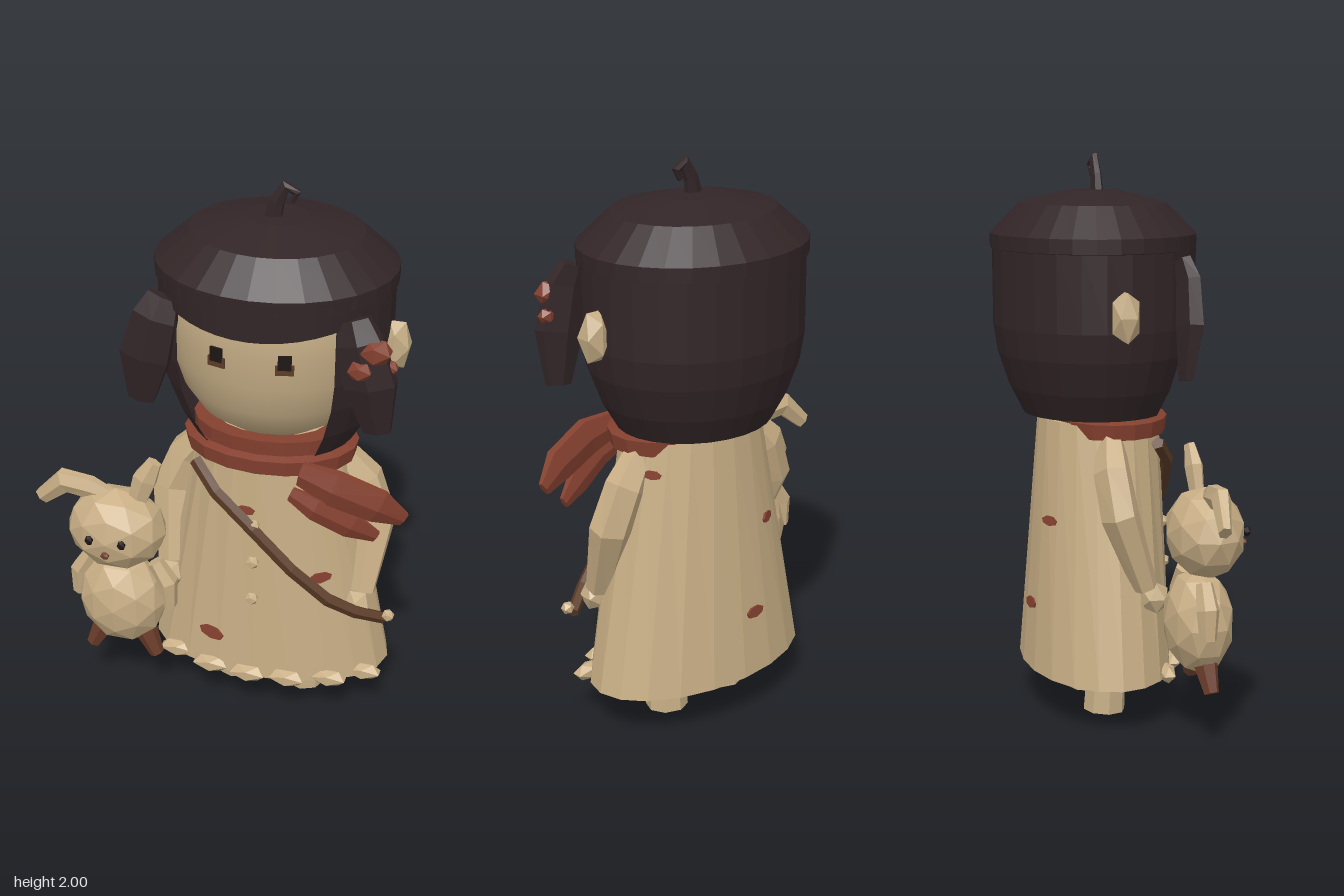
import * as THREE from 'three';

const mat = (name, color, side = THREE.FrontSide) => {
  const m = new THREE.MeshStandardMaterial({ color, side });
  m.name = name;
  return m;
};

// Gives every face its own normal for a low-poly look
const faceted = (geo) => {
  const g = geo.index ? geo.toNonIndexed() : geo;
  g.computeVertexNormals();
  return g;
};

// Faceted solid swept through points, with a radius at each and closed ends
function limb(pts, radii, sides = 6, flat = 1) {
  const P = pts.map((p) => new THREE.Vector3(...p));
  const last = P.length - 1;
  const rings = P.map((p, i) => {
    const t = P[Math.min(i + 1, last)].clone().sub(P[Math.max(i - 1, 0)]).normalize();
    const u = t.clone().cross(new THREE.Vector3(0, 0, 1)).normalize();
    return { p, u, v: t.clone().cross(u), r: radii[i] };
  });
  rings.unshift({ ...rings[0], r: 0 });
  rings.push({ ...rings[rings.length - 1], r: 0 });
  const pos = [], idx = [];
  rings.forEach(({ p, u, v, r }, i) => {
    for (let k = 0; k < sides; k++) {
      const a = ((k + 0.5) / sides) * Math.PI * 2;
      const q = p.clone().addScaledVector(u, Math.cos(a) * r).addScaledVector(v, Math.sin(a) * r * flat);
      pos.push(q.x, q.y, q.z);
      if (i === rings.length - 1) continue;
      const n = (k + 1) % sides, b = i * sides, c = b + sides;
      if (i > 0) idx.push(b + k, b + n, c + k);
      if (i < rings.length - 2) idx.push(b + n, c + n, c + k);
    }
  });
  const g = new THREE.BufferGeometry();
  g.setAttribute('position', new THREE.Float32BufferAttribute(pos, 3));
  g.setIndex(idx);
  return faceted(g);
}

// Faceted ellipsoid
const blob = (x, y, z, sx, sy = sx, sz = sx, detail = 0) =>
  faceted(new THREE.IcosahedronGeometry(1, detail).scale(sx, sy, sz).translate(x, y, z));

// Elliptical lathe around the figure's axis; angle 0 faces the front
const CX = 0.145;
const turned = (profile, sides, depth, cz, start = 0, length = Math.PI * 2) =>
  new THREE.LatheGeometry(profile.map(([r, y]) => new THREE.Vector2(r, y)), sides, start, length)
    .scale(1, 1, depth).translate(CX, 0, cz);

// Point on the flared dress at an angle and height
function onDress(angle, y, grow = 0) {
  const t = (y - 0.165) / 0.905, mix = THREE.MathUtils.lerp;
  return new THREE.Vector3(
    CX + Math.sin(angle) * (mix(0.445, 0.265, t) + grow), y,
    mix(-0.035, -0.02, t) + Math.cos(angle) * (mix(0.265, 0.215, t) + grow));
}

export function createModel() {
  const cream = mat('cream cloth', 0xc8ae85);
  const skin = mat('skin', 0xc6ae86);
  const hair = mat('dark hair', 0x322527, THREE.DoubleSide);
  const red = mat('rust red', 0x84402f);
  const brown = mat('strap brown', 0x5c3c27);
  const russet = mat('russet brown', 0x6c3d2a);
  const black = mat('eye black', 0x1d1614);

  const model = new THREE.Group();
  let target = model;
  const add = (name, geo, material) => {
    const m = new THREE.Mesh(geo, material);
    m.name = name;
    target.add(m);
    return m;
  };

  // Dress: unit lathe moved onto the flared surface
  const dress = new THREE.LatheGeometry(
    [[0, 0.165], [1, 0.165], [1, 1.07], [0, 1.07]].map((p) => new THREE.Vector2(...p)), 20);
  const dp = dress.attributes.position;
  for (let i = 0; i < dp.count; i++) {
    const x = dp.getX(i), z = dp.getZ(i), y = dp.getY(i), r = Math.hypot(x, z);
    const q = onDress(Math.atan2(x, z), y);
    const c = onDress(0, y).add(onDress(Math.PI, y)).multiplyScalar(0.5);
    q.lerpVectors(c, q, r);
    dp.setXYZ(i, q.x, q.y, q.z);
  }
  add('dress', faceted(dress), cream);

  // Hem beads and buttons
  for (let i = -2; i <= 3; i++) {
    const p = onDress(Math.asin(Math.min((-0.02 + 0.147 * i) / 0.45, 0.86)), 0.18);
    add('hemBead', blob(p.x, p.y, p.z, 0.075, 0.035, 0.035), cream);
  }
  for (const y of [0.81, 0.66, 0.51]) {
    const p = onDress(0, y);
    add('button', blob(p.x - 0.005, p.y, p.z + 0.01, 0.025), cream);
  }

  // Thin cloth patches
  const patches = [[-0.4, 0.315, 0.055], [-0.12, 0.86, 0.035], [0.68, 0.6, 0.045],
    [2.0, 0.96, 0.035], [3.65, 0.72, 0.04], [3.3, 0.4, 0.045]];
  for (const [a, y, size] of patches) {
    const disc = new THREE.CylinderGeometry(1, 1, 0.008, 7).rotateX(Math.PI / 2).scale(size, size * 0.45, 1);
    const m = add('patch', faceted(disc), red);
    m.position.copy(onDress(a, y, 0.002));
    m.lookAt(onDress(a, y, 1).add(new THREE.Vector3(0, 0.15, 0)));
  }

  // Legs, sleeves and hands
  for (const s of [-1, 1]) {
    add('leg', faceted(new THREE.CylinderGeometry(0.07, 0.076, 0.18, 8)
      .rotateX(0.05).translate(CX + s * 0.135, 0.092, -0.025)), skin);
    add('sleeve', limb([[CX + s * 0.23, 1.025, -0.03], [CX + s * 0.32, 0.91, -0.045],
      [CX + s * 0.375, 0.77, -0.03], [CX + s * 0.355, 0.51, 0.065]], [0.055, 0.078, 0.08, 0.052], 6, 0.85), cream);
    add('hand', blob(CX + s * 0.35, 0.47, 0.1, 0.055, 0.06, 0.055), skin);
  }

  // Neck scarf and its two hanging ends
  add('scarf', faceted(turned([[0.24, 1.01], [0.3, 1.02], [0.31, 1.075], [0.27, 1.085], [0.275, 1.14], [0.2, 1.14]],
    18, 0.7, 0.005)), red);
  add('scarfEnd', limb([[0.3, 1.04, 0.2], [0.42, 1.01, 0.215], [0.57, 0.95, 0.19], [0.655, 0.895, 0.16]],
    [0.05, 0.075, 0.07, 0.03], 6, 0.45), red);
  add('scarfEnd', limb([[0.27, 0.96, 0.21], [0.36, 0.925, 0.225], [0.48, 0.865, 0.2], [0.565, 0.815, 0.17]],
    [0.03, 0.05, 0.055, 0.025], 6, 0.45), red);

  // Shoulder strap and end knob
  add('strap', limb([[-0.09, 0.995, 0.14], [0.0, 0.915, 0.2], [0.14, 0.8, 0.225], [0.28, 0.66, 0.225],
    [0.41, 0.54, 0.2], [0.5, 0.48, 0.16], [0.595, 0.43, 0.1]], [0.024, 0.024, 0.024, 0.024, 0.025, 0.024, 0.022], 5), brown);
  add('strapKnob', blob(0.61, 0.45, 0.11, 0.024), cream);

  // Head: smooth face, ears and eyes
  add('face', turned([[0, 1.1], [0.17, 1.12], [0.26, 1.18], [0.32, 1.27], [0.355, 1.38], [0.372, 1.5],
    [0.375, 1.62], [0.33, 1.72], [0, 1.74]], 40, 0.88, -0.035), skin);
  for (const s of [-1, 1]) {
    add('ear', blob(CX + s * 0.42, 1.46, -0.022, 0.055, 0.1, 0.055), skin);
    const eye = new THREE.Group();
    eye.name = 'eye';
    eye.position.set(CX + s * 0.115, 1.485, 0.283);
    eye.rotation.y = s * 0.27;
    model.add(eye);
    target = eye;
    add('iris', new THREE.BoxGeometry(0.062, 0.035, 0.008).translate(0, -0.017, 0), brown);
    add('pupil', new THREE.BoxGeometry(0.045, 0.05, 0.009).translate(0, 0.01, 0.002), black);
    target = model;
  }

  // Hair: open-fronted shell, domed crown, fringe and side locks
  const gap = 0.73;
  add('hairBack', faceted(turned([[0.2, 1.07], [0.285, 1.085], [0.34, 1.18], [0.385, 1.3], [0.402, 1.4], [0.404, 1.7]],
    20, 0.88, -0.037, gap, Math.PI * 2 - 2 * gap)), hair);
  add('hairCrown', faceted(turned([[0.395, 1.665], [0.414, 1.67], [0.414, 1.72], [0.295, 1.825], [0.11, 1.868], [0, 1.872]],
    28, 0.875, -0.037)), hair);
  const fringe = turned([[0.385, 1.6], [0.408, 1.6], [0.413, 1.71]], 14, 0.88, -0.037, -0.95, 1.9);
  const fp = fringe.attributes.position;
  for (let i = 0; i < fp.count; i++) {
    if (fp.getY(i) < 1.65) fp.setY(i, 1.572 + 0.4 * (fp.getX(i) - CX) ** 2);
  }
  add('fringe', faceted(fringe), hair);
  for (const s of [-1, 1]) {
    add('sideLock', limb([[CX + s * 0.32, 1.64, 0.2], [CX + s * 0.345, 1.57, 0.215],
      [CX + s * 0.385, 1.42, 0.21], [CX + s * 0.41, 1.24, 0.19]], [0.06, 0.085, 0.098, 0.052], 6, 0.5), hair);
  }
  add('topCurl', limb([[0.13, 1.85, -0.025], [0.145, 1.92, -0.025], [0.175, 1.977, -0.025],
    [0.212, 1.955, -0.03], [0.195, 1.92, -0.03]], [0.034, 0.028, 0.023, 0.018, 0.01], 6, 0.7), hair);

  // Hair flower
  for (const [x, y, z, r] of [[0.545, 1.55, 0.23, 0.06], [0.5, 1.485, 0.25, 0.045], [0.585, 1.485, 0.2, 0.035]]) {
    add('hairFlower', blob(x, y, z, r, r * 0.85, r * 0.75), red);
  }

  // Toy rabbit
  const rabbit = new THREE.Group();
  rabbit.name = 'toyRabbit';
  model.add(rabbit);
  target = rabbit;
  add('rabbitHead', blob(-0.355, 0.73, 0.235, 0.182, 0.158, 0.135, 1), cream);
  add('rabbitBody', blob(-0.35, 0.42, 0.215, 0.165, 0.185, 0.12, 1), cream);
  add('rabbitFloppyEar', limb([[-0.37, 0.85, 0.235], [-0.45, 0.875, 0.235], [-0.55, 0.885, 0.23], [-0.645, 0.795, 0.215]],
    [0.03, 0.045, 0.048, 0.032], 6, 0.7), cream);
  add('rabbitUprightEar', limb([[-0.285, 0.83, 0.23], [-0.25, 0.94, 0.225], [-0.215, 1.01, 0.22]],
    [0.035, 0.047, 0.028], 6, 0.7), cream);
  for (const s of [-1, 1]) {
    add('rabbitArm', limb([[-0.35 + s * 0.12, 0.58, 0.2], [-0.35 + s * 0.165, 0.5, 0.2], [-0.35 + s * 0.17, 0.4, 0.2]],
      [0.03, 0.04, 0.03], 6), cream);
    add('rabbitLeg', limb([[-0.345 + s * 0.075, 0.3, 0.22], [-0.345 + s * 0.125, 0.195, 0.23]], [0.045, 0.026], 6), russet);
    add('rabbitEye', blob(-0.355 + s * 0.06, 0.74, 0.365, 0.016, 0.02, 0.015), black);
  }
  add('rabbitNose', blob(-0.355, 0.69, 0.372, 0.018, 0.014, 0.014), russet);

  return model;
}
